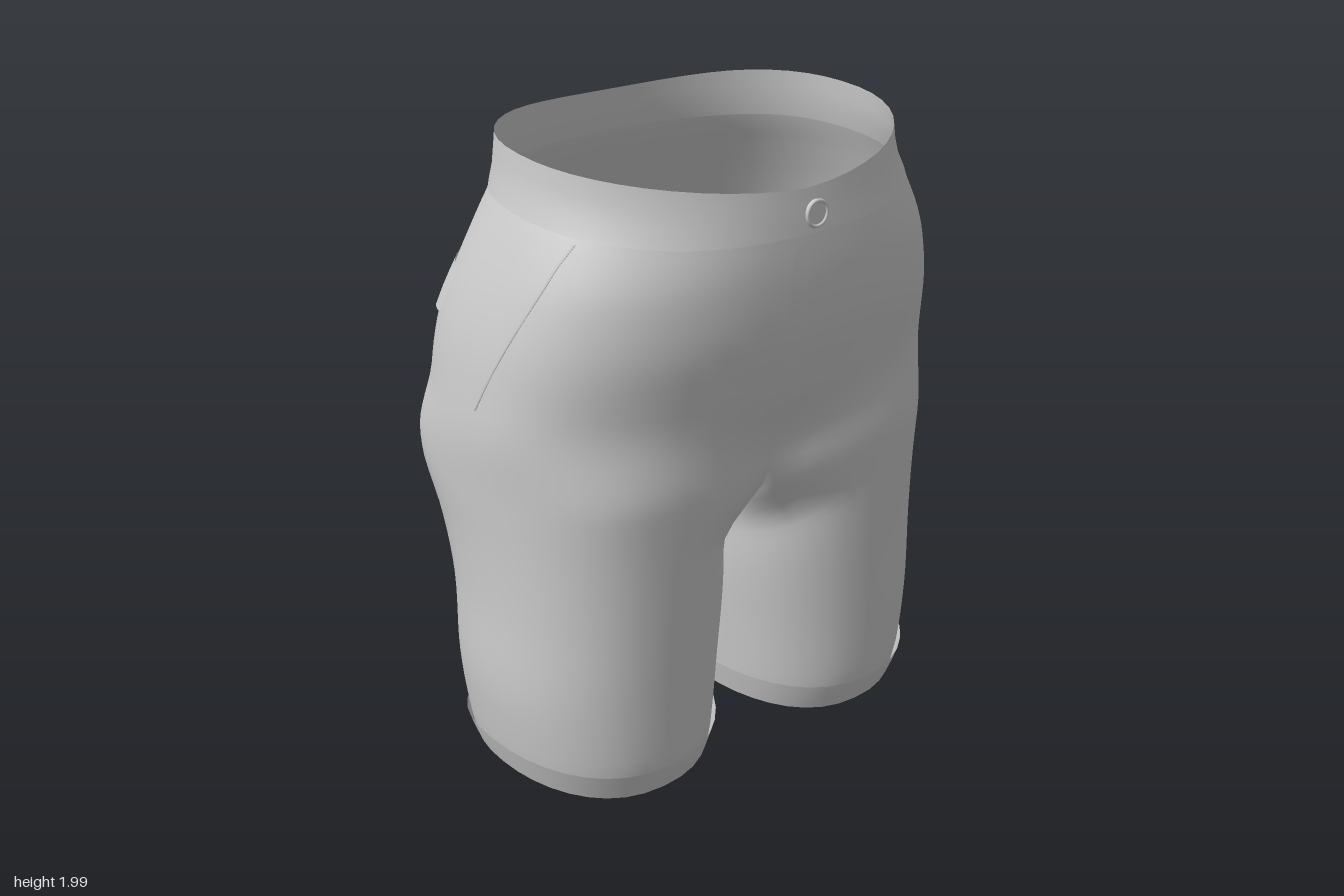
import * as THREE from 'three';
import { mergeGeometries, mergeVertices } from 'three/addons/utils/BufferGeometryUtils.js';

const material = new THREE.MeshStandardMaterial({ color: 0xcccccc, side: THREE.DoubleSide });
const CROTCH = 0.97; // height where the hips split into the legs
const OUTER = 24;    // columns from centre front round the hip to centre back
const RING = 36;     // columns of a full leg ring
const { smoothstep, lerp, clamp } = THREE.MathUtils;

// height, outer x, inner x, front z, back z
const profile = [
  [0, 0.755, 0.06, 0.435, -0.30], [0.1, 0.775, 0.05, 0.455, -0.325],
  [0.33, 0.80, 0.03, 0.465, -0.345], [0.6, 0.795, 0.01, 0.475, -0.37],
  [0.8, 0.80, 0.005, 0.485, -0.435], [0.97, 0.812, 0, 0.50, -0.53],
  [1.15, 0.82, 0, 0.512, -0.575], [1.3, 0.807, 0, 0.542, -0.575],
  [1.45, 0.785, 0, 0.572, -0.54], [1.6, 0.745, 0, 0.58, -0.468],
  [1.75, 0.69, 0, 0.575, -0.395], [1.85, 0.65, 0, 0.565, -0.35],
  [2, 0.632, 0, 0.55, -0.33],
];

// smooth interpolation through the profile
function sizesAt(y) {
  let k = 0;
  while (k < profile.length - 2 && profile[k + 1][0] < y) k++;
  const a = profile[k], b = profile[k + 1], h = b[0] - a[0];
  const before = profile[Math.max(0, k - 1)], after = profile[Math.min(profile.length - 1, k + 2)];
  const t = clamp((y - a[0]) / h, 0, 1), s = t * t * (3 - 2 * t);
  return [1, 2, 3, 4].map((n) => {
    const ma = (b[n] - before[n]) / (b[0] - before[0]);
    const mb = (after[n] - a[n]) / (after[0] - a[0]);
    return lerp(a[n], b[n], s) + h * t * (1 - t) * (ma * (1 - t) - mb * t);
  });
}

const power = (v, e) => Math.sign(v) * Math.abs(v) ** e;
const legAngle = (i) => ((120 - 10 * i) * Math.PI) / 180;

// oval section of one leg
function legOval(i, y, scale = 1) {
  const [xo, xi, zf, zb] = sizesAt(y), a = legAngle(i);
  return [
    (xo + xi) / 2 + ((xo - xi) / 2) * scale * power(Math.cos(a), 0.9),
    (zf + zb) / 2 + ((zf - zb) / 2) * scale * power(Math.sin(a), 0.9),
  ];
}

// leg section with its inner side drawn to the middle seam near the crotch
function legPoint(i, y) {
  const [x, z] = legOval(i, y);
  const k = Math.min(i, OUTER - i);
  const pull = k <= 0 ? x : legOval(0, y)[0] * Math.max(0, 1 - k / 6) ** 2;
  return [x - pull * smoothstep(y, 0.76, CROTCH), z];
}

// hip section, blending into the leg section towards the crotch
function hipPoint(i, y, out = 0) {
  const [w, , zf, zb] = sizesAt(y), a = (Math.PI * i) / OUTER, c = Math.cos(a);
  const mid = lerp(0.04, 0.1, smoothstep(y, 1.2, 1.9));
  const e = c > 0 ? lerp(0.78, 0.96, smoothstep(y, 1.6, 1.9)) : 0.88;
  const x = (w + out) * power(Math.sin(a), e);
  const z = mid + (c > 0 ? zf + out - mid : mid - zb + out) * power(c, e);
  const [lx, lz] = legPoint(i, y);
  const blend = 1 - smoothstep(y, CROTCH, 1.27);
  return [lerp(x, lx, blend), y, lerp(z, lz, blend)];
}

// grid of points fn(u, v) with u, v from 0 to 1; side -1 mirrors it
function grid(fn, cols, rows, side = 1) {
  const pos = [], index = [];
  for (let j = 0; j <= rows; j++)
    for (let i = 0; i <= cols; i++) {
      const [x, y, z] = fn(i / cols, j / rows);
      pos.push(x * side, y, z);
    }
  for (let j = 0; j < rows; j++)
    for (let i = 0; i < cols; i++) {
      const a = j * (cols + 1) + i, b = a + 1, d = a + cols + 1, c = d + 1;
      if (side > 0) index.push(a, b, c, a, c, d);
      else index.push(a, c, b, a, d, c);
    }
  const g = new THREE.BufferGeometry();
  g.setAttribute('position', new THREE.Float32BufferAttribute(pos, 3));
  g.setIndex(index);
  return g;
}

function addMesh(group, name, ...parts) {
  const g = mergeVertices(parts.length > 1 ? mergeGeometries(parts) : parts[0], 1e-4);
  g.computeVertexNormals();
  const mesh = new THREE.Mesh(g, material);
  mesh.name = name;
  group.add(mesh);
}

// waistband edges, from centre front (u = 0) to centre back (u = 1)
const bandBottom = (u) => 1.74 + 0.1 * smoothstep(u, 0, 0.75);
const bandTop = (u) =>
  1.87 + 0.128 * Math.sin((Math.min(1, u / 0.75) * Math.PI) / 2) ** 1.3 - 0.014 * smoothstep(u, 0.75, 1);

const torso = (u, v) => hipPoint(u * OUTER, lerp(CROTCH, bandBottom(u) + 0.01, v));
const waistband = (u, v) => hipPoint(u * OUTER, lerp(bandBottom(u), bandTop(u), v), 0.004);

function leg(u, v) {
  const i = Math.round(u * RING), row = lerp(0.05, CROTCH, v);
  const [x, z] = legPoint(i, row);
  const k = Math.max(0, i - OUTER) / (RING - OUTER);
  const dip = 0.13 * Math.max(0, Math.sin(Math.PI * k)) ** 0.8 * v;
  return [x, row + 0.04 * Math.cos(legAngle(i)) ** 2 * (1 - v) - dip, z];
}

// turned-up hem, flaring towards its top edge
function cuff(u, v) {
  const i = u * RING;
  const [x, z] = legOval(i, 0.1 * v, lerp(1, 1.035, v));
  return [x, lerp(0.005, 0.1, v) + 0.045 * Math.cos(legAngle(i)) ** 2, z];
}

// raised cloth panel lying on the hips
const panel = (i0, i1, low, high, out) => (u, v) =>
  hipPoint(lerp(i0, i1, u), lerp(low(u), high(u), v), out * (1 - 0.7 * v));

export function createModel() {
  const group = new THREE.Group();
  group.name = 'shorts';
  const sides = [1, -1];

  addMesh(group, 'body', ...sides.flatMap((s) => [grid(torso, OUTER, 24, s), grid(leg, RING, 20, s)]));
  addMesh(group, 'waistband', ...sides.map((s) => grid(waistband, OUTER, 3, s)));

  for (const s of sides) {
    const label = s > 0 ? 'left' : 'right';
    addMesh(group, label + 'Cuff', grid(cuff, RING, 2, s));

    // back pocket flap
    const flap = panel(14.6, 21.6, (u) => 1.47 - 0.03 * Math.sin(Math.PI * u), () => 1.6, 0.012);
    addMesh(group, label + 'BackPocket', grid(flap, 14, 3, s));

    // slanted front pocket seam
    const points = [];
    for (let k = 0; k <= 8; k++) {
      const t = k / 8;
      const [x, y, z] = hipPoint(lerp(8.5, 11.6, t ** 0.8), lerp(1.77, 1.26, t));
      points.push(new THREE.Vector3(x * s, y, z));
    }
    const seam = new THREE.TubeGeometry(new THREE.CatmullRomCurve3(points), 24, 0.004, 5);
    addMesh(group, label + 'PocketSeam', seam);
  }

  // fly flap beside the centre front
  addMesh(group, 'fly', grid(panel(0, 0.3, (u) => 1.2 + 0.03 * u, () => 1.72, 0.006), 2, 10, -1));

  // waist button with a raised rim
  const button = new THREE.Group();
  button.name = 'button';
  const disc = new THREE.Mesh(new THREE.CylinderGeometry(0.04, 0.04, 0.014, 24), material);
  disc.rotation.x = Math.PI / 2;
  const rim = new THREE.Mesh(new THREE.TorusGeometry(0.037, 0.006, 8, 24), material);
  rim.position.z = 0.006;
  button.add(disc, rim);
  button.position.set(0.03, 1.795, 0.574);
  group.add(button);
  return group;
}
